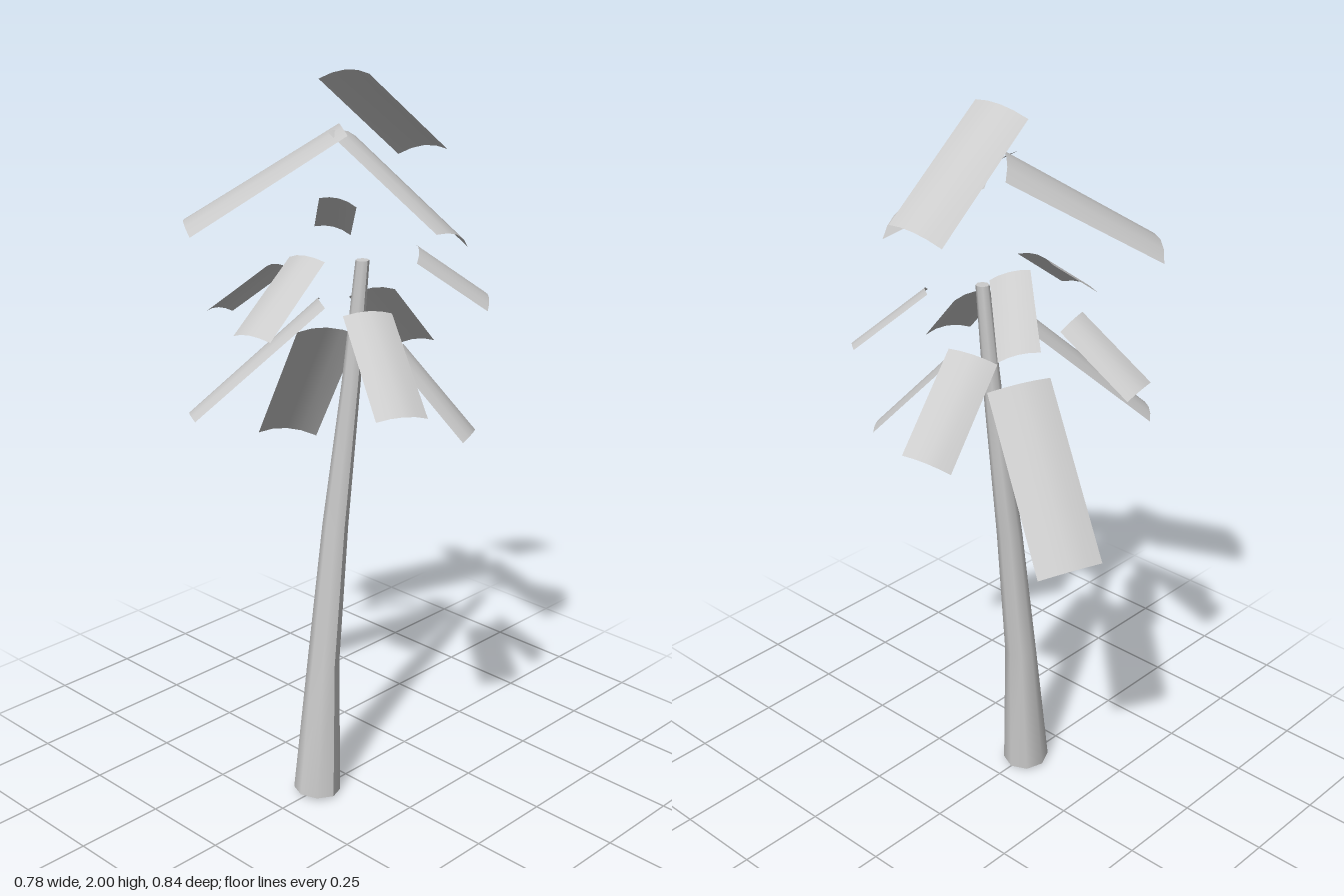
import * as THREE from 'three';

const trunkMaterial = new THREE.MeshStandardMaterial({ color: 0xcccccc });
const leafMaterial = new THREE.MeshStandardMaterial({ color: 0xcccccc, side: THREE.DoubleSide });

// Trunk rings from the ground up: x, y, z, radius
const trunkRings = [
  [-0.115, 0.01, 0, 0.065],
  [-0.088, 0.4, 0, 0.044],
  [-0.045, 0.8, 0.005, 0.035],
  [-0.005, 1.2, 0.025, 0.025],
  [0.01, 1.53, 0.05, 0.018],
];

// Branch cards: inner corner, inner corner, outer corner, outer corner
// (the second inner corner lies on the same side as the first outer one)
const branches = [
  // crown
  [[0.005, 2, 0.075], [-0.02, 1.975, -0.075], [0.3, 1.74, -0.097], [0.325, 1.77, 0.053]],
  [[-0.075, 1.86, 0.08], [0.065, 1.84, -0.08], [-0.25, 1.61, -0.325], [-0.383, 1.62, -0.16]],
  [[-0.083, 1.865, 0.015], [0.065, 1.81, -0.01], [0.085, 1.6, 0.335], [-0.06, 1.66, 0.36]],
  // upper ring
  [[0.074, 1.645, -0.17], [0.143, 1.62, -0.1], [0.28, 1.495, -0.255], [0.21, 1.52, -0.327]],
  [[-0.165, 1.555, -0.035], [-0.155, 1.56, 0.08], [-0.377, 1.41, 0.117], [-0.39, 1.405, 0]],
  [[0.108, 1.52, 0.148], [0.18, 1.545, 0.077], [0.33, 1.41, 0.19], [0.26, 1.385, 0.26]],
  [[-0.1, 1.49, -0.19], [-0.01, 1.465, -0.195], [-0.05, 1.32, -0.383], [-0.145, 1.34, -0.38]],
  // lower ring
  [[-0.155, 1.435, 0.142], [-0.04, 1.43, 0.2], [-0.147, 1.235, 0.42], [-0.265, 1.24, 0.36]],
  [[0.11, 1.385, -0.095], [0.17, 1.415, 0.015], [0.388, 1.215, -0.035], [0.333, 1.18, -0.148]],
  [[-0.125, 1.43, 0.05], [-0.045, 1.42, -0.05], [-0.32, 1.125, -0.25], [-0.385, 1.14, -0.16]],
  [[0, 1.305, 0.155], [0.1, 1.3, 0.113], [0.18, 1.09, 0.295], [0.08, 1.09, 0.34]],
  [[-0.045, 1.31, -0.135], [0.1, 1.29, -0.05], [0.215, 0.9, -0.33], [0.07, 0.925, -0.418]],
];

// Tapered, bent trunk: each ring of a cylinder is moved to its own centre
function makeTrunk() {
  const last = trunkRings.length - 1;
  const geometry = new THREE.CylinderGeometry(1, 1, 1, 8, last);
  const position = geometry.attributes.position;
  for (let i = 0; i < position.count; i++) {
    const ring = Math.round((position.getY(i) + 0.5) * last);
    const [x, y, z, r] = trunkRings[ring];
    const tilt = ring === 0 ? -0.1 * r * position.getX(i) : 0;
    position.setXYZ(i, x + r * position.getX(i), y + tilt, z + r * position.getZ(i));
  }
  geometry.computeVertexNormals();
  const mesh = new THREE.Mesh(geometry, trunkMaterial);
  mesh.name = 'trunk';
  return mesh;
}

// Thin branch card spread between four corners and arched across its width
function makeBranch(corners, index) {
  let [a, b, c, d] = corners.map((p) => new THREE.Vector3(...p));
  const facing = () => b.clone().sub(a).cross(a.clone().sub(d)).normalize();
  // keep the front face upwards
  if (facing().y < 0) [a, b, c, d] = [b, a, d, c];
  const up = facing();
  const arch = 0.12 * a.distanceTo(b);
  const geometry = new THREE.PlaneGeometry(1, 1, 4, 2);
  const position = geometry.attributes.position;
  for (let i = 0; i < position.count; i++) {
    const u = position.getX(i) + 0.5;
    const v = 0.5 - position.getY(i);
    const point = a.clone().lerp(b, u).lerp(d.clone().lerp(c, u), v);
    point.addScaledVector(up, arch * 4 * u * (1 - u));
    position.setXYZ(i, point.x, point.y, point.z);
  }
  geometry.computeVertexNormals();
  const mesh = new THREE.Mesh(geometry, leafMaterial);
  mesh.name = `branch${index + 1}`;
  return mesh;
}

export function createModel() {
  const tree = new THREE.Group();
  tree.name = 'tree';
  const foliage = new THREE.Group();
  foliage.name = 'foliage';
  branches.forEach((corners, i) => foliage.add(makeBranch(corners, i)));
  tree.add(makeTrunk(), foliage);
  return tree;
}
